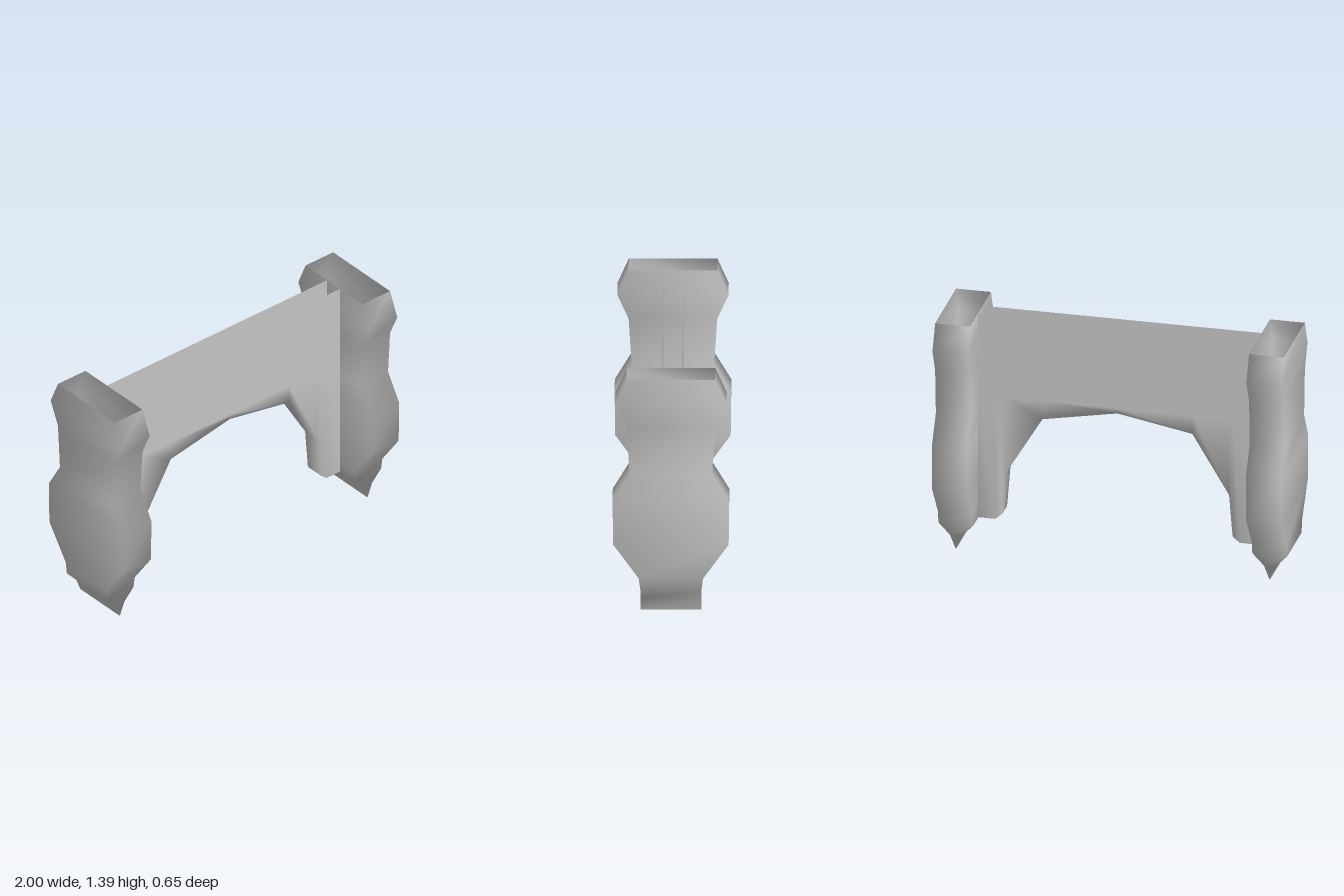
import * as THREE from 'three';

const grey = new THREE.MeshStandardMaterial({ color: 0xc4c4c4, side: THREE.DoubleSide });
grey.name = 'plain grey';

// Skin a list of equal-length cross-sections with smooth shared vertices
function loft(name, rings, closed) {
  const n = rings[0].length;
  const index = [];
  for (let r = 0; r < rings.length - 1; r++) {
    for (let i = 0; i < (closed ? n : n - 1); i++) {
      const a = r * n + i, b = r * n + (i + 1) % n;
      index.push(a, b, b + n, a, b + n, a + n);
    }
  }
  const geometry = new THREE.BufferGeometry();
  geometry.setAttribute('position', new THREE.Float32BufferAttribute(rings.flat(2), 3));
  geometry.setIndex(index);
  geometry.computeVertexNormals();
  const mesh = new THREE.Mesh(geometry, grey);
  mesh.name = name;
  return mesh;
}

// Hollow end support: [height, half depth, half width], keel first, open at the top
const supportProfile = [
  [0, 0.17, 0.002], [0.08, 0.17, 0.033], [0.15, 0.17, 0.1], [0.22, 0.18, 0.1],
  [0.42, 0.322, 0.1], [0.68, 0.325, 0.1], [0.84, 0.23, 0.1], [1.11, 0.247, 0.1],
  [1.25, 0.31, 0.1], [1.395, 0.247, 0.1],
];

function support(name, x) {
  const rings = supportProfile.map(([y, d, w]) => [
    [x - w, y, d], [x + w, y, d], [x + w, y, -d], [x - w, y, -d],
  ]);
  return loft(name, rings, true);
}

// Thin hollow crosspiece: lower outline from the middle to the left end
const archProfile = [[0, 0.87], [0.43, 0.79], [0.64, 0.44], [0.66, 0.19], [0.7, 0.155], [0.8, 0.155]];

function crosspiece() {
  const left = archProfile;
  const right = left.slice(1).reverse().map(([x, y]) => [-x, y]);
  const front = 0.052, back = -0.06;
  const rings = [...right, ...left].map(([x, y]) => [
    [x, 1.395, front], [x, 0.9, front], [x, y, front],
    [x, y, back], [x, 0.9, back], [x, 1.395, back],
  ]);
  return loft('archedCrosspiece', rings, false);
}

export function createModel() {
  const group = new THREE.Group();
  group.name = 'archedStand';
  group.add(support('leftSupport', 0.9), support('rightSupport', -0.9), crosspiece());
  return group;
}
